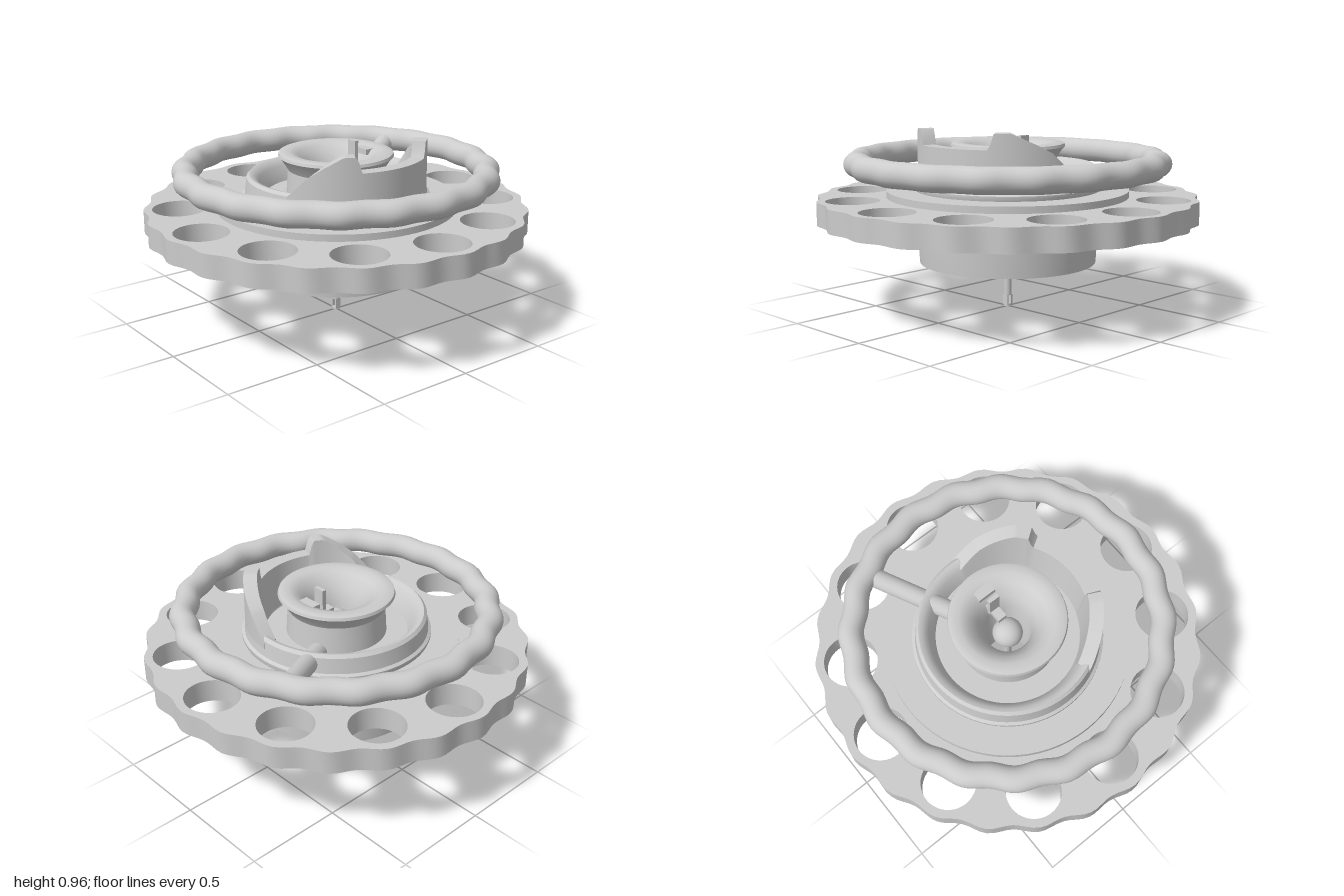
import * as THREE from 'three';
import { toCreasedNormals } from 'three/addons/utils/BufferGeometryUtils.js';

const grey = new THREE.MeshStandardMaterial({ color: 0xcccccc });
grey.name = 'plain grey';

export function createModel() {
  const model = new THREE.Group();
  model.name = 'model';

  const add = (name, geometry, x = 0, y = 0, z = 0) => {
    const mesh = new THREE.Mesh(geometry, grey);
    mesh.name = name;
    mesh.position.set(x, y, z);
    model.add(mesh);
    return mesh;
  };

  // Solid of revolution from a closed profile [radius, height], counterclockwise
  const turned = (name, profile) => {
    const points = [...profile, profile[0]].map(([r, y]) => new THREE.Vector2(r, y));
    return add(name, toCreasedNormals(new THREE.LatheGeometry(points, 72), 0.6));
  };

  // Rod between two points
  const rod = (name, a, b, radius) => {
    const from = new THREE.Vector3(...a), to = new THREE.Vector3(...b);
    const mesh = add(name, new THREE.CylinderGeometry(radius, radius, from.distanceTo(to), 20));
    mesh.position.lerpVectors(from, to, 0.5);
    mesh.quaternion.setFromUnitVectors(new THREE.Vector3(0, 1, 0), to.sub(from).normalize());
    return mesh;
  };

  // Scalloped base plate with twelve round holes
  const outline = [];
  for (let i = 0; i < 192; i++) {
    const a = (i / 192) * Math.PI * 2;
    const r = 0.985 + 0.012 * Math.cos(24 * a);
    outline.push(new THREE.Vector2(r * Math.cos(a), r * Math.sin(a)));
  }
  const plate = new THREE.Shape(outline);
  const cut = (x, y, r) => plate.holes.push(new THREE.Path().absarc(x, y, r, 0, Math.PI * 2, true));
  cut(0, 0, 0.455);
  for (let i = 0; i < 12; i++) {
    const a = (i / 12) * Math.PI * 2;
    cut(0.815 * Math.cos(a), 0.815 * Math.sin(a), 0.138);
  }
  const plateGeometry = new THREE.ExtrudeGeometry(plate, { depth: 0.12, bevelEnabled: false, curveSegments: 20 });
  plateGeometry.rotateX(-Math.PI / 2);
  add('basePlate', toCreasedNormals(plateGeometry, 0.6), 0, 0.48, 0);

  // Raised flange and hollow lower skirt
  turned('flange', [[0.18, 0.59], [0.635, 0.59], [0.635, 0.635], [0.18, 0.635]]);
  turned('lowerSkirt', [[0.445, 0.25], [0.465, 0.25], [0.48, 0.49], [0.48, 0.6], [0.45, 0.6]]);

  // Collar with a sloping inner bowl
  turned('collar', [
    [0.25, 0.62], [0.48, 0.62], [0.49, 0.645], [0.49, 0.66], [0.475, 0.67],
    [0.465, 0.75], [0.45, 0.765], [0.43, 0.76], [0.4, 0.73], [0.37, 0.65], [0.25, 0.65],
  ]);

  // Central hub: rolled top, dished mouth and a tube running down
  turned('hub', [
    [0.12, 0.27], [0.19, 0.27], [0.19, 0.62], [0.26, 0.64], [0.25, 0.79], [0.285, 0.845],
    [0.3, 0.86], [0.295, 0.875], [0.28, 0.88], [0.24, 0.88], [0.2, 0.865], [0.15, 0.8], [0.12, 0.72],
  ]);

  // Wavy hand ring
  const ring = new THREE.TorusGeometry(0.778, 0.065, 20, 160);
  ring.rotateX(Math.PI / 2);
  const rp = ring.attributes.position;
  for (let i = 0; i < rp.count; i++) {
    const a = Math.atan2(rp.getZ(i), rp.getX(i));
    const k = 1 + 0.011 * Math.cos(20 * a);
    rp.setXYZ(i, rp.getX(i) * k, rp.getY(i), rp.getZ(i) * k);
  }
  ring.computeVertexNormals();
  add('handRing', toCreasedNormals(ring, 1), 0, 0.775, 0);

  // Single spoke from hub to hand ring
  rod('spoke', [-0.15, 0.68, -0.27], [-0.38, 0.77, -0.67], 0.05);

  // Curved guard wall with a raised fin near each end: [degrees, top height]
  const crest = [
    [-88, 0.74], [-72, 0.86], [-60, 0.91], [-46, 0.96], [-36, 0.96], [-33, 0.88],
    [22, 0.88], [25, 0.96], [33, 0.96], [44, 0.91], [55, 0.85], [68, 0.75],
  ];
  const topAt = (deg) => {
    for (let i = 1; i < crest.length; i++) {
      const [a0, h0] = crest[i - 1], [a1, h1] = crest[i];
      if (deg <= a1) return h0 + (h1 - h0) * (deg - a0) / (a1 - a0);
    }
    return crest[crest.length - 1][1];
  };
  const wall = new THREE.BoxGeometry(1, 1, 156, 1, 1, 78);
  const wp = wall.attributes.position;
  for (let i = 0; i < wp.count; i++) {
    const deg = wp.getZ(i) - 10;
    const upper = wp.getY(i) > 0;
    const r = wp.getX(i) > 0 ? 0.47 : (upper ? 0.4 : 0.37);
    const a = THREE.MathUtils.degToRad(deg);
    wp.setXYZ(i, r * Math.cos(a), upper ? topAt(deg) : 0.64, r * Math.sin(a));
  }
  add('guardWall', toCreasedNormals(wall, 0.5));

  // Spindle with rounded head and a forked foot
  rod('spindle', [0, 0.06, 0], [0, 0.7, 0], 0.02);
  for (const side of [-1, 1]) {
    add('spindleFork', new THREE.BoxGeometry(0.01, 0.055, 0.032), side * 0.015, 0.035, 0);
  }
  add('spindleFoot', new THREE.CylinderGeometry(0.02, 0.02, 0.015, 20), 0, 0.0075, 0);
  add('spindleHead', new THREE.SphereGeometry(0.078, 32, 20), 0, 0.68, 0);

  // Small latch at the back of the dish
  add('latchTab', new THREE.BoxGeometry(0.06, 0.16, 0.022), 0, 0.84, -0.112);
  add('latchBase', new THREE.BoxGeometry(0.1, 0.03, 0.06), 0, 0.855, -0.19);
  add('latchArm', new THREE.BoxGeometry(0.05, 0.03, 0.15), 0, 0.78, -0.115);

  return model;
}
